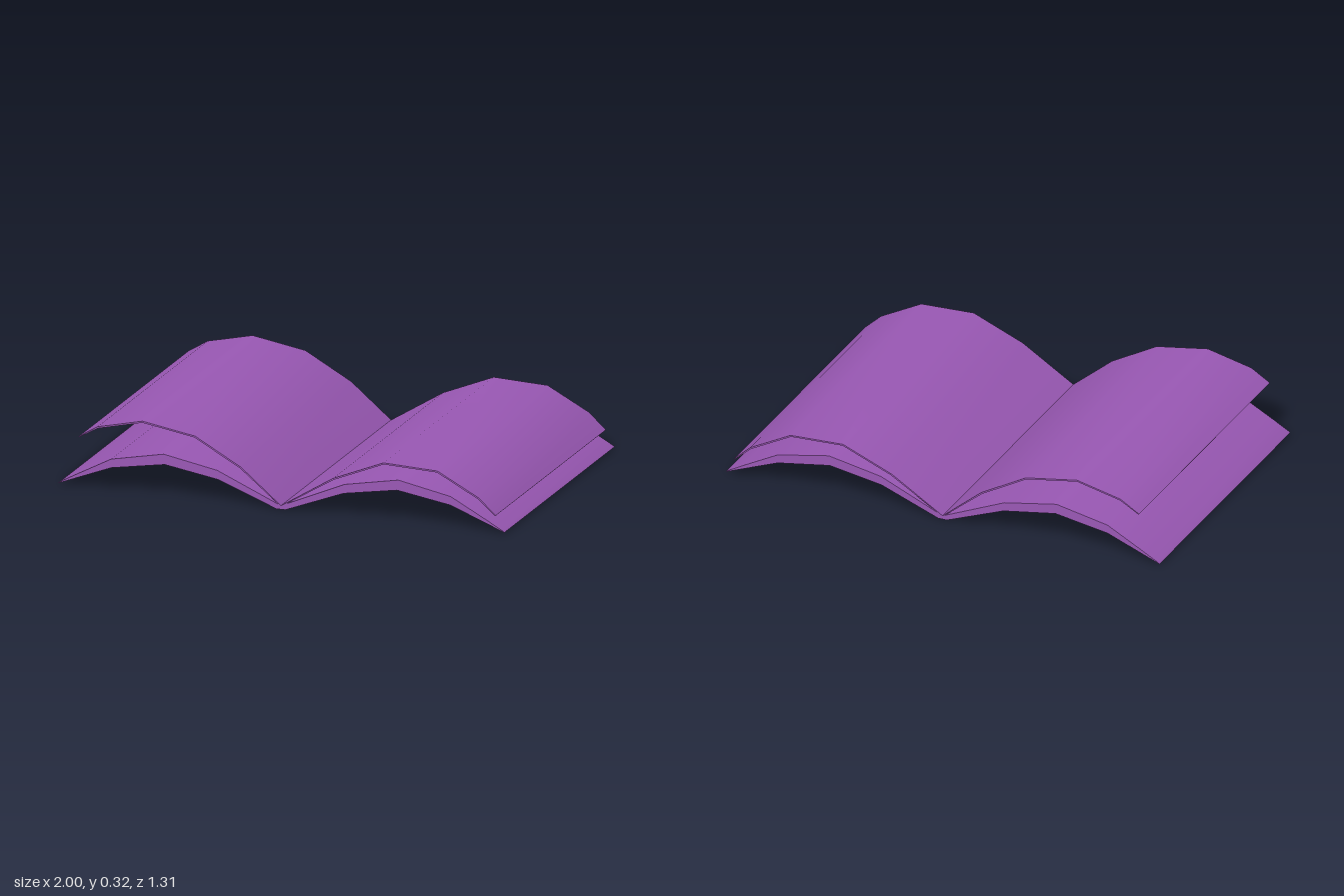
import * as THREE from 'three';
import { toCreasedNormals } from 'three/addons/utils/BufferGeometryUtils.js';

const DEPTH = 1.31;

// Extrude a closed x/y outline along z, centred, smooth except at sharp edges
function sheet(name, points, material) {
  const shape = new THREE.Shape(points.map(([x, y]) => new THREE.Vector2(x, y)));
  const geometry = new THREE.ExtrudeGeometry(shape, { depth: DEPTH, bevelEnabled: false });
  geometry.translate(0, 0, -DEPTH / 2);
  const mesh = new THREE.Mesh(toCreasedNormals(geometry, 0.7), material);
  mesh.name = name;
  return mesh;
}

// Give a curved line a small thickness across its direction
function thicken(line, thickness) {
  const upper = [], lower = [];
  line.forEach(([x, y], i) => {
    const a = line[Math.max(i - 1, 0)], b = line[Math.min(i + 1, line.length - 1)];
    const dx = b[0] - a[0], dy = b[1] - a[1], len = Math.hypot(dx, dy);
    const t = (i === 0 || i === line.length - 1 ? 0.5 : 1) * thickness / 2;
    upper.push([x - dy / len * t, y + dx / len * t]);
    lower.push([x + dy / len * t, y - dx / len * t]);
  });
  return [...lower, ...upper.reverse()];
}

export function createModel() {
  const model = new THREE.Group();
  model.name = 'openBook';
  const purple = new THREE.MeshStandardMaterial({ color: 0x9b59b6 });
  const mirror = (pts) => pts.map(([x, y]) => [-x, y]).reverse();

  // Page block: two mirrored arched halves meeting at the spine
  const bottom = [[0.02, 0], [0.28, 0.1], [0.52, 0.14], [0.76, 0.1], [1, 0.006]];
  const top = [[0.99, 0.014], [0.925, 0.05], [0.76, 0.138], [0.525, 0.185], [0.285, 0.14]];
  model.add(sheet('pageBlock',
    [...mirror(bottom), ...bottom, ...top, [0, 0.016], ...mirror(top)], purple));

  // Two loose pages lifting from the spine
  const leftLine = [[-0.905, 0.22], [-0.82, 0.27], [-0.62, 0.316], [-0.385, 0.276], [-0.18, 0.162], [0, 0.014]];
  const rightLine = [[0, 0.014], [0.235, 0.158], [0.46, 0.25], [0.7, 0.24], [0.885, 0.142], [0.96, 0.075]];
  model.add(sheet('rightLoosePage', thicken(leftLine, 0.007), purple));
  model.add(sheet('leftLoosePage', thicken(rightLine, 0.007), purple));
  return model;
}
